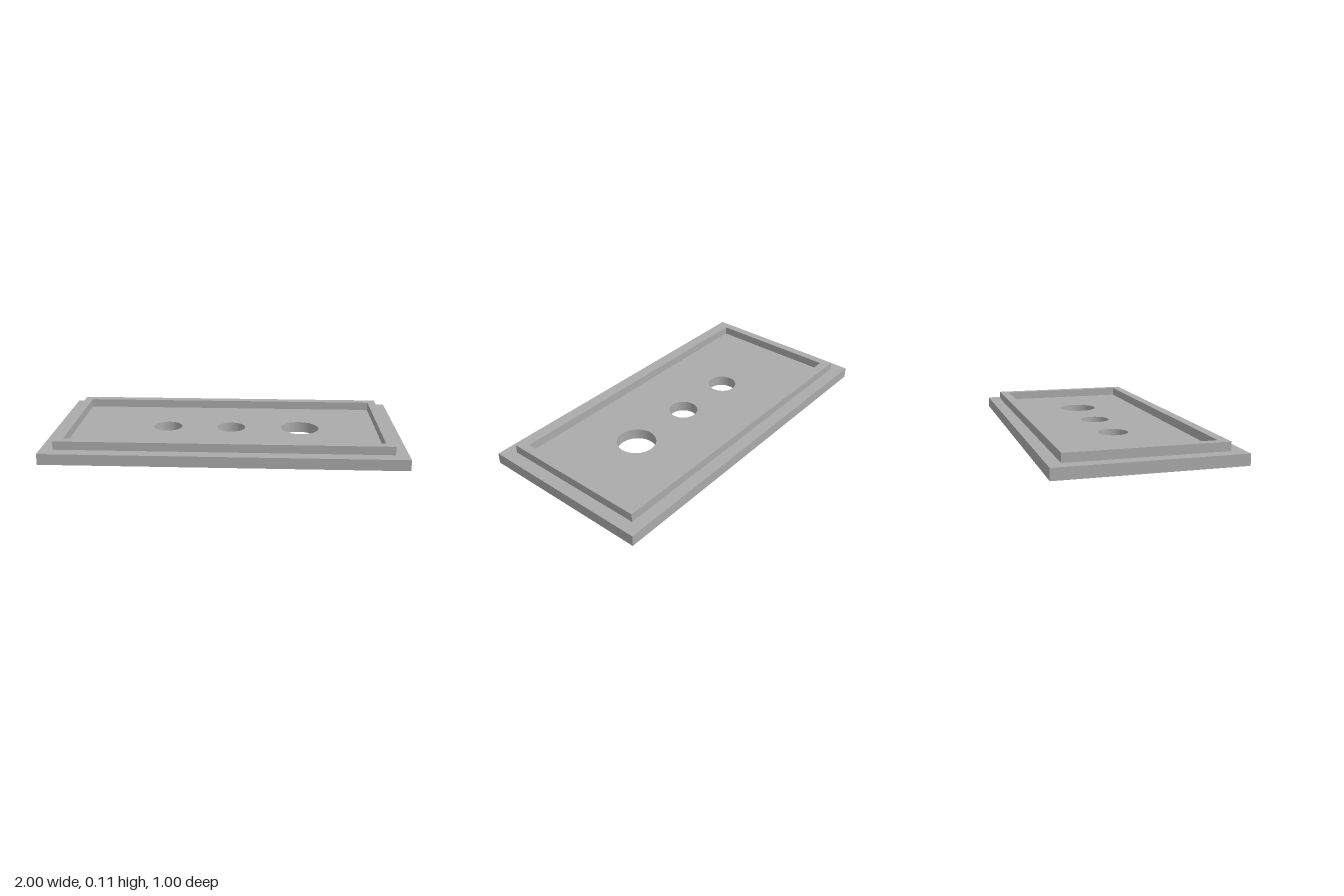
import * as THREE from 'three';

// Rectangle centred on the origin, as a Shape or a Path
function rectangle(Type, halfWidth, halfDepth) {
  return new Type([
    new THREE.Vector2(-halfWidth, -halfDepth),
    new THREE.Vector2(halfWidth, -halfDepth),
    new THREE.Vector2(halfWidth, halfDepth),
    new THREE.Vector2(-halfWidth, halfDepth),
  ]);
}

// Extrudes a plan shape upwards from height y
function slab(name, shape, y, height, material) {
  const geometry = new THREE.ExtrudeGeometry(shape, {
    depth: height, bevelEnabled: false, curveSegments: 32,
  });
  geometry.rotateX(-Math.PI / 2).translate(0, y, 0);
  const mesh = new THREE.Mesh(geometry, material);
  mesh.name = name;
  return mesh;
}

export function createModel() {
  const group = new THREE.Group();
  group.name = 'coverPlate';
  const grey = new THREE.MeshStandardMaterial({ color: 0xaaaaaa });
  grey.name = 'grey';

  const plateHeight = 0.062;
  const rimHeight = 0.048;

  // Base plate with two small holes and one large hole
  const plate = rectangle(THREE.Shape, 1, 0.5);
  for (const [x, radius] of [[-0.345, 0.083], [0.03, 0.083], [0.435, 0.11]]) {
    plate.holes.push(new THREE.Path().absarc(x, 0, radius, 0, Math.PI * 2, true));
  }
  group.add(slab('basePlate', plate, 0, plateHeight, grey));

  // Raised rim set in from the plate edge
  const rim = rectangle(THREE.Shape, 0.928, 0.43);
  rim.holes.push(rectangle(THREE.Path, 0.88, 0.377));
  group.add(slab('raisedRim', rim, plateHeight, rimHeight, grey));

  return group;
}
